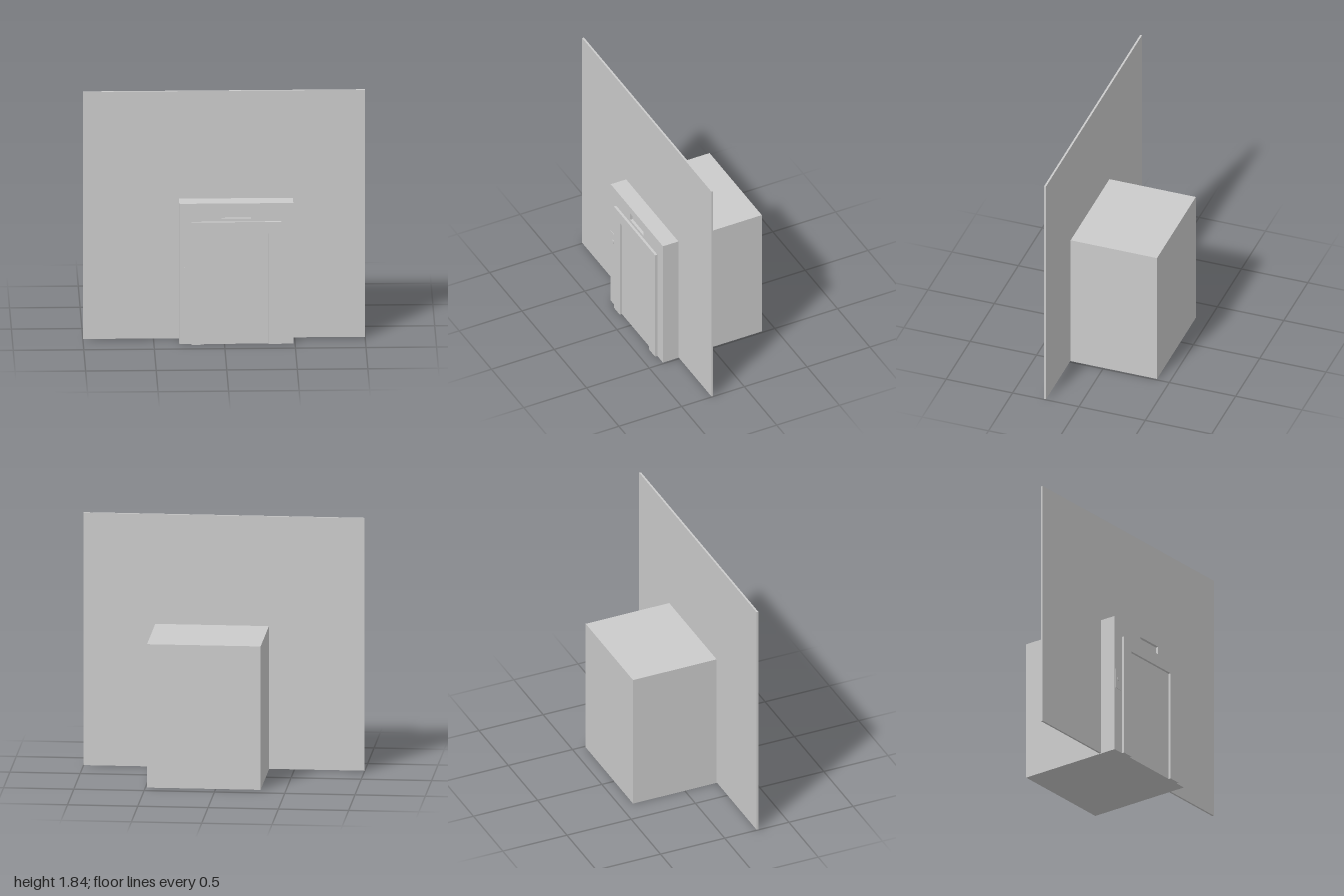
import * as THREE from 'three';

const material = new THREE.MeshStandardMaterial({ color: 0xcccccc, flatShading: true });

function add(group, name, geometry) {
  const mesh = new THREE.Mesh(geometry, material);
  mesh.name = name;
  group.add(mesh);
  return mesh;
}

// Box given by its limits on each axis
function block(group, name, [x0, x1], [y0, y1], [z0, z1]) {
  const mesh = add(group, name, new THREE.BoxGeometry(x1 - x0, y1 - y0, z1 - z0));
  mesh.position.set((x0 + x1) / 2, (y0 + y1) / 2, (z0 + z1) / 2);
  return mesh;
}

function rectangle(Type, x0, x1, y0, y1) {
  return new Type([[x0, y0], [x1, y0], [x1, y1], [x0, y1]].map(([x, y]) => new THREE.Vector2(x, y)));
}

function slab(group, name, shape, z0, z1) {
  const mesh = add(group, name, new THREE.ExtrudeGeometry(shape, { depth: z1 - z0, bevelEnabled: false }));
  mesh.position.z = z0;
  return mesh;
}

export function createModel() {
  const model = new THREE.Group();
  model.name = 'elevator';
  const front = 0.385;

  // Wall that the lift shaft passes through
  block(model, 'wall', [-1, 1], [0.005, 1.84], [0.248, 0.262]);

  // Shaft, with a front skin pierced for the floor display
  block(model, 'shaft', [-0.32, 0.488], [0, 1.042], [-0.403, front - 0.02]);
  const skin = rectangle(THREE.Shape, -0.32, 0.488, 0, 1.042);
  skin.holes.push(rectangle(THREE.Path, -0.02, 0.188, 0.93, 0.988));
  slab(model, 'shaftFront', skin, front - 0.02, front);

  // Door surround, an upside-down U standing on the floor
  const surround = new THREE.Shape([
    [-0.235, 0], [-0.145, 0], [-0.145, 0.822], [0.31, 0.822],
    [0.31, 0], [0.402, 0], [0.402, 0.908], [-0.235, 0.908],
  ].map(([x, y]) => new THREE.Vector2(x, y)));
  slab(model, 'doorFrame', surround, front, 0.403);

  // Door leaf
  block(model, 'door', [-0.145, 0.31], [0, 0.822], [front - 0.01, front + 0.001]);

  // Call panel beside the door
  block(model, 'callPanel', [-0.315, -0.243], [0.485, 0.63], [front - 0.005, front + 0.003]);
  const button = add(model, 'callButton', new THREE.CylinderGeometry(0.014, 0.014, 0.006, 16));
  button.rotation.x = Math.PI / 2;
  button.position.set(-0.279, 0.56, front + 0.004);

  return model;
}
